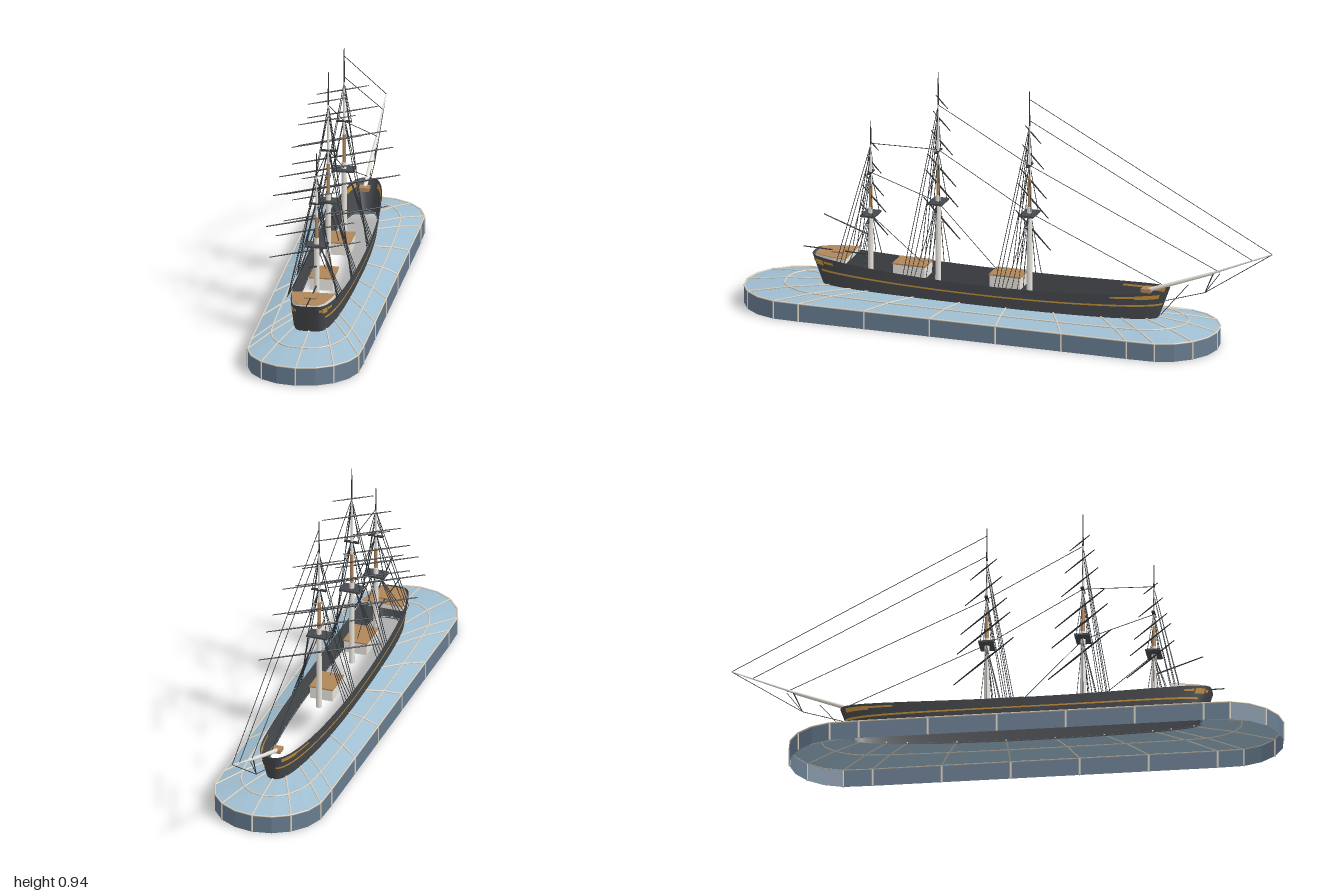
import * as THREE from 'three';

const paint = (name, color, side = THREE.FrontSide) => {
  const m = new THREE.MeshStandardMaterial({ color, side });
  m.name = name;
  return m;
};
const V = (x, y, z) => new THREE.Vector3(x, y, z);

export function createModel() {
  const ship = new THREE.Group();
  ship.name = 'sailingShip';
  const M = {
    sea: paint('seaBlue', 0xa0bfd2, THREE.DoubleSide),
    wall: paint('slateBlue', 0x687c90, THREE.DoubleSide),
    seam: paint('cream', 0xd8cfbf),
    hull: paint('hullGrey', 0x46494d, THREE.DoubleSide),
    gold: paint('gold', 0xc8923a, THREE.DoubleSide),
    deck: paint('deckBrown', 0xb0865a),
    white: paint('paleGrey', 0xe8e4dd),
    spar: paint('sparBlack', 0x33373b),
    rope: paint('ropeBlack', 0x303438),
  };
  const group = (name, parent = ship) => {
    const g = new THREE.Group();
    g.name = name;
    parent.add(g);
    return g;
  };
  const add = (parent, name, geo, mat) => {
    const m = new THREE.Mesh(geo, mat);
    m.name = name;
    parent.add(m);
    return m;
  };
  // Tapered round bar from a to b
  const rod = (parent, name, a, b, r0, r1, mat, sides = 8) => {
    const d = b.clone().sub(a);
    const m = add(parent, name, new THREE.CylinderGeometry(r1, r0, d.length(), sides), mat);
    m.position.copy(a).addScaledVector(d, 0.5);
    m.quaternion.setFromUnitVectors(V(0, 1, 0), d.normalize());
    return m;
  };
  const box = (parent, name, w, h, d, x, y, z, mat) => {
    const m = add(parent, name, new THREE.BoxGeometry(w, h, d), mat);
    m.position.set(x, y, z);
    return m;
  };
  // Skin over rows of points
  const skin = (rows, flat) => {
    const n = rows[0].length, index = [];
    for (let r = 0; r < rows.length - 1; r++) for (let i = 0; i < n - 1; i++) {
      const a = r * n + i, b = a + n;
      index.push(a, a + 1, b, a + 1, b + 1, b);
    }
    let g = new THREE.BufferGeometry().setFromPoints(rows.flat());
    g.setIndex(index);
    if (flat) g = g.toNonIndexed();
    g.computeVertexNormals();
    return g;
  };

  // Hull surface: angle 0 is the stern, PI the bow; f runs from waterline to rail
  const railAt = z => 0.178 + 0.03 * ((z - 0.07) / 0.67) ** 2;
  const hullPoint = (t, f, off = 0) => {
    const c = Math.cos(t), s = Math.sin(t), k = Math.abs(s);
    const stern = THREE.MathUtils.lerp(0.7, 0.742, f), bow = THREE.MathUtils.lerp(-0.565, -0.605, f);
    const z = (stern + bow) / 2 + (stern - bow) / 2 * c;
    const power = c > 0 ? 0.42 : THREE.MathUtils.lerp(0.82, 0.64, f);
    const x = Math.sign(s) * THREE.MathUtils.lerp(0.093, 0.1, f) * (k < 1e-6 ? 0 : Math.pow(k, power));
    return V(x + off * s, THREE.MathUtils.lerp(0.095, railAt(z), f), z + off * c);
  };
  const hullBand = (t0, t1, f0, f1, off, n = 96) => skin([f1, (f0 + f1) / 2, f0].map(f =>
    Array.from({ length: n + 1 }, (_, i) => hullPoint(t0 + (t1 - t0) * i / n, f, off))));
  const hull = group('hull');
  add(hull, 'hullShell', hullBand(0, Math.PI * 2, 0, 1, 0), M.hull);
  // Gold stripe along each side and carved patches at the ends, inside and out
  for (const s of [1, -1]) {
    add(hull, 'goldStripe', hullBand(s * 0.3, s * 3.05, 0.52, 0.59, 0.002), M.gold);
    for (const off of [0.002, -0.002]) {
      for (const [t0, t1, f0, f1] of [[0.13, 0.2, 0.78, 0.87], [0.22, 0.38, 0.72, 0.9], [0.4, 0.52, 0.8, 0.88]])
        add(hull, 'sternOrnament', hullBand(s * t0, s * t1, f0, f1, off, 6), M.gold);
      for (const [t0, t1, f0, f1] of [[2.36, 2.58, 0.83, 0.9], [2.58, 2.9, 0.78, 0.92]])
        add(hull, 'bowOrnament', hullBand(s * t0, s * t1, f0, f1, off, 6), M.gold);
    }
  }

  // Plinth: round-ended wall with a sloping top up to the waterline
  const plinth = group('plinth');
  const R = 0.205, half = [];
  const end = (deg, cz) => {
    const a = deg * Math.PI / 180;
    half.push({ x: R * Math.sin(a), z: cz + R * Math.cos(a), seam: deg % 180 === 0 || [40, 80, 100, 140].includes(deg) });
  };
  for (let d = 0; d <= 80; d += 20) end(d, 0.795);
  for (let k = 0; k <= 10; k++) half.push({ x: R, z: 0.735 - 0.125 * k, seam: k % 2 === 0 });
  for (let d = 100; d <= 180; d += 20) end(d, -0.585);
  const loop = [...half, ...half.slice(0, -1).reverse().map(p => ({ ...p, x: -p.x }))];
  const foot = loop.map(p => V(p.x, 0, p.z)), edge = loop.map(p => V(p.x, 0.066, p.z));
  const inner = loop.map((p, i) => {
    const t = Math.acos(THREE.MathUtils.clamp((p.z - 0.105) / 0.895, -1, 1));
    const q = hullPoint(i < half.length ? t : -t, 0);
    return V(q.x, 0.1, q.z);
  });
  const middle = edge.map((p, i) => p.clone().lerp(inner[i], 0.5).setY(0.088));
  add(plinth, 'plinthWall', skin([edge, foot], true), M.wall);
  add(plinth, 'plinthTop', skin([inner, middle, edge], true), M.sea);
  const seams = group('seams', plinth), line = 0.0032;
  const up = p => p.clone().setY(p.y + 0.0012);
  loop.forEach((p, i) => {
    if (p.seam && i < loop.length - 1) {
      rod(seams, 'wallSeam', foot[i], edge[i], line, line, M.seam);
      rod(seams, 'outerTopSeam', up(edge[i]), up(middle[i]), line, line, M.seam);
      rod(seams, 'innerTopSeam', up(middle[i]), up(inner[i]), line, line, M.seam);
    }
    if (i) for (const ring of [edge, middle])
      rod(seams, 'ringSeam', up(ring[i - 1]), up(ring[i]), line, line, M.seam);
  });

  // Deckhouses, poop deck and bow block
  const houses = group('deckhouses');
  for (const [z, d] of [[0.005, 0.12], [0.37, 0.125]]) {
    box(houses, 'houseWalls', 0.086, 0.044, d - 0.004, 0, 0.179, z, M.white);
    box(houses, 'houseRoof', 0.09, 0.005, d, 0, 0.203, z, M.deck);
  }
  const poop = new THREE.Shape([[-0.078, 0.6], [0.078, 0.6], [0.07, 0.65], [0.056, 0.7], [0.038, 0.727],
    [-0.038, 0.727], [-0.056, 0.7], [-0.07, 0.65]].map(p => new THREE.Vector2(p[0], -p[1])));
  for (const [name, y, depth, mat] of [['poopWalls', 0.192, 0.017, M.white], ['poopDeck', 0.209, 0.002, M.deck]]) {
    const g = new THREE.ExtrudeGeometry(poop, { depth, bevelEnabled: false });
    add(houses, name, g.rotateX(-Math.PI / 2), mat).position.y = y;
  }
  box(houses, 'skylight', 0.044, 0.008, 0.044, 0, 0.213, 0.65, M.deck);
  box(houses, 'bowBlock', 0.036, 0.014, 0.036, 0, 0.198, -0.522, M.deck);

  // Masts: [height, half span across the ship] for each yard
  const masts = [
    { name: 'foremast', z: -0.075, tip: 0.9, top: 0.433, cross: 0.62, peak: 0.77,
      yards: [[0.372, 0.1875], [0.483, 0.165], [0.55, 0.145], [0.65, 0.115], [0.735, 0.085]] },
    { name: 'mainmast', z: 0.273, tip: 0.935, top: 0.44, cross: 0.635, peak: 0.81,
      yards: [[0.378, 0.198], [0.492, 0.175], [0.56, 0.155], [0.665, 0.115], [0.747, 0.093], [0.82, 0.063]] },
    { name: 'mizzenmast', z: 0.53, tip: 0.72, top: 0.365, cross: 0.525, peak: 0.63,
      yards: [[0.345, 0.148], [0.423, 0.128], [0.475, 0.103], [0.55, 0.075], [0.625, 0.045]] },
  ];
  const brace = 35 * Math.PI / 180;
  for (const m of masts) {
    const g = group(m.name), at = y => V(0, y, m.z);
    rod(g, 'lowerMast', at(0.14), at(m.top + 0.03), 0.011, 0.009, M.white, 12);
    rod(g, 'topmast', at(m.top), at(m.cross - 0.05), 0.007, 0.006, M.deck, 10);
    rod(g, 'topgallantMast', at(m.cross - 0.05), at(m.peak), 0.005, 0.0035, M.white);
    rod(g, 'mastPole', at(m.peak), at(m.tip), 0.003, 0.0015, M.spar);
    box(g, 'mastTop', 0.08, 0.007, 0.054, 0, m.top + 0.003, m.z, M.hull);
    box(g, 'crosstrees', 0.056, 0.004, 0.012, 0, m.cross, m.z, M.spar);
    // Yards are braced round and hang just ahead of the mast
    for (const [y, span] of m.yards) {
      const c = V(-0.0075, y, m.z - 0.011), r = 0.002 + span * 0.008;
      for (const s of [1, -1])
        rod(g, 'yard', c, c.clone().add(V(s * span, 0, -s * span * Math.tan(brace))), r, r * 0.55, M.spar);
    }
    const lines = group('shrouds', g), w = m.z > 0.5 ? 0.09 : 0.099;
    const rope = (name, a, b) => rod(lines, name, a, b, 0.0013, 0.0013, M.rope, 6);
    for (const s of [1, -1]) {
      for (let k = 0; k < 4; k++) {
        const z = m.z - 0.01 + k * 0.022;
        rope('lowerShroud', V(s * w, railAt(z), z), V(s * 0.012, m.top, m.z));
      }
      for (const k of [-1, 1])
        rope('topmastShroud', V(s * 0.038, m.top, m.z + k * 0.02), V(s * 0.004, m.cross, m.z));
      rope('topgallantShroud', V(s * 0.027, m.cross, m.z), V(0, m.peak, m.z));
      for (const [y, dz] of [[m.cross, 0.07], [m.peak - 0.03, 0.085], [m.peak, 0.1]])
        rope('backstay', V(s * w, railAt(m.z + dz), m.z + dz), V(0, y, m.z));
    }
  }

  // Bowsprit, its strut, and the gaff and boom at the stern
  const spars = group('foreAndAftSpars');
  rod(spars, 'bowsprit', V(0, 0.198, -0.53), V(0, 0.288, -0.77), 0.008, 0.006, M.white, 12);
  rod(spars, 'jibBoom', V(0, 0.28, -0.75), V(0, 0.385, -1), 0.0045, 0.002, M.white);
  rod(spars, 'martingaleStrut', V(0, 0.288, -0.775), V(0, 0.212, -0.743), 0.0025, 0.0015, M.spar);
  rod(spars, 'gaff', V(0, 0.285, 0.53), V(0, 0.347, 0.708), 0.003, 0.002, M.spar);
  rod(spars, 'boom', V(0, 0.212, 0.53), V(0, 0.216, 0.785), 0.003, 0.002, M.spar);

  // Stays in the centre plane: y, z to y, z
  const stays = group('stays');
  for (const [y0, z0, y1, z1] of [
    [0.87, -0.075, 0.385, -1], [0.79, -0.075, 0.353, -0.925], [0.62, -0.075, 0.295, -0.8], [0.44, -0.075, 0.215, -0.6],
    [0.81, 0.273, 0.62, -0.075], [0.64, 0.273, 0.44, -0.075], [0.44, 0.273, 0.19, 0.03],
    [0.635, 0.53, 0.64, 0.273], [0.525, 0.53, 0.44, 0.273], [0.365, 0.53, 0.19, 0.315],
    [0.212, -0.743, 0.385, -1], [0.212, -0.743, 0.29, -0.8], [0.212, -0.743, 0.165, -0.595], [0.11, -0.575, 0.235, -0.68],
  ]) rod(stays, 'stay', V(0, y0, z0), V(0, y1, z1), 0.0013, 0.0013, M.rope, 6);
  return ship;
}
